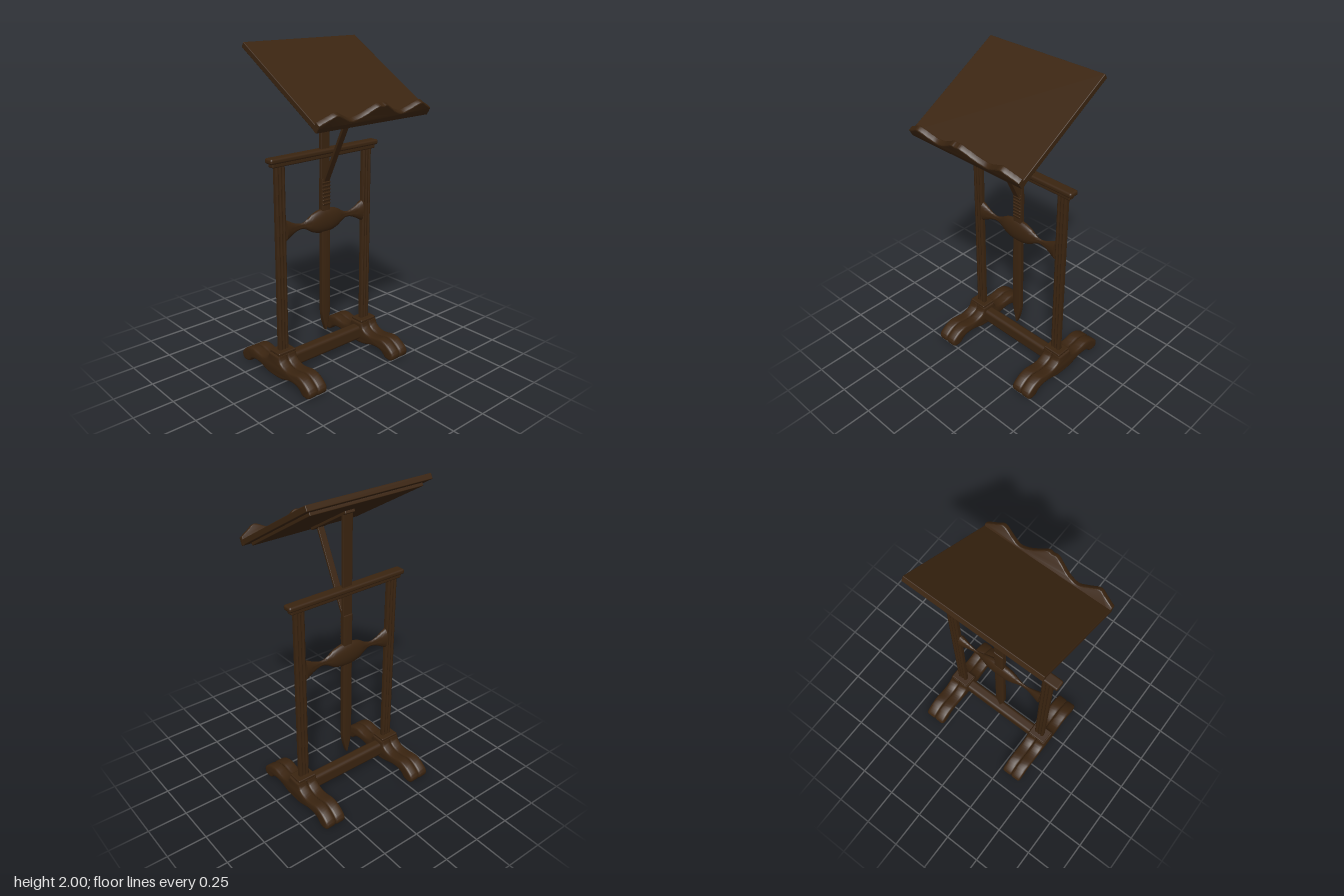
import * as THREE from 'three';
import { toCreasedNormals } from 'three/addons/utils/BufferGeometryUtils.js';
import { RoundedBoxGeometry } from 'three/addons/geometries/RoundedBoxGeometry.js';

const POST_Z = -0.07; // plane of the posts, rail and shaft

export function createModel() {
  const model = new THREE.Group();
  model.name = 'lectern';
  const wood = new THREE.MeshStandardMaterial({ color: 0x3a2410 });
  wood.name = 'dark wood';

  const add = (name, geometry, x, y, z, parent = model) => {
    const mesh = new THREE.Mesh(geometry, wood);
    mesh.name = name;
    mesh.position.set(x, y, z);
    parent.add(mesh);
    return mesh;
  };
  const box = (w, h, d, r = 0.004) => new RoundedBoxGeometry(w, h, d, 2, r);

  // Extrudes an outline symmetrically about its plane, with a soft bevel inside the outline
  const slab = (shape, depth, bevel) => {
    const g = new THREE.ExtrudeGeometry(shape, {
      depth: depth - 2 * bevel, bevelThickness: bevel, bevelSize: bevel,
      bevelOffset: -bevel, bevelSegments: 3, curveSegments: 10,
    });
    g.translate(0, 0, bevel - depth / 2);
    return toCreasedNormals(g, 0.6);
  };
  const spline = (pts) => new THREE.SplineCurve(pts.map(([x, y]) => new THREE.Vector2(x, y)));

  // Scrolled foot outline: half profile mirrored about the post
  const halfFoot = [[0.05, 0.165], [0.062, 0.13], [0.11, 0.106], [0.16, 0.106], [0.22, 0.116],
    [0.27, 0.106], [0.315, 0.078], [0.338, 0.05], [0.335, 0.018], [0.31, 0.003], [0.27, 0.008],
    [0.24, 0.035], [0.2, 0.048], [0.14, 0.045], [0.07, 0.025]];
  const outline = [...halfFoot, [0, 0.02],
    ...halfFoot.map(([x, y]) => [-x, y]).reverse()];
  const footShape = new THREE.Shape(spline(outline).getPoints(90));
  const lobe = slab(footShape, 0.07, 0.014).rotateY(-Math.PI / 2);

  for (const side of [-1, 1]) {
    const name = side > 0 ? 'left' : 'right';
    // Foot made of two rounded lobes
    for (const off of [-0.035, 0.035]) add(name + 'Foot', lobe, side * 0.34 + off, 0, POST_Z);
    add(name + 'FootBlock', box(0.12, 0.1, 0.09), side * 0.338, 0.115, POST_Z);
    add(name + 'PostCollar', box(0.125, 0.018, 0.095, 0.006), side * 0.338, 0.175, POST_Z);

    // Reeded post
    add(name + 'Post', box(0.068, 1.16, 0.026), side * 0.336, 0.76, POST_Z);
    for (const off of [-0.022, 0, 0.022]) {
      const reed = new THREE.CylinderGeometry(0.0105, 0.0105, 1.15, 12);
      reed.scale(1, 1, 1.75);
      add(name + 'PostReed', reed, side * 0.336 + off, 0.76, POST_Z);
    }
  }

  // Low stretcher between the feet
  add('stretcher', box(0.58, 0.095, 0.075, 0.022), 0, 0.093, POST_Z);

  // Moulded top rail
  add('topRailMoulding', box(0.79, 0.032, 0.046, 0.008), 0, 1.341, POST_Z);
  add('topRail', box(0.824, 0.032, 0.066, 0.012), 0, 1.364, POST_Z);

  // Carved middle cross-piece: flared ends, thin necks, lens-shaped centre
  const half = spline([[0.066, 0.3], [0.058, 0.285], [0.036, 0.245], [0.021, 0.205], [0.019, 0.17],
    [0.031, 0.14], [0.058, 0.095], [0.073, 0.045], [0.077, 0]]).getPoints(28);
  const turned = [
    new THREE.Vector2(0, -0.302),
    ...half.map((p) => new THREE.Vector2(p.x, -p.y)),
    ...half.slice(0, -1).reverse(),
    new THREE.Vector2(0, 0.302),
  ];
  const cross = new THREE.LatheGeometry(turned, 28);
  cross.rotateZ(-Math.PI / 2).scale(1, 1, 0.44);
  add('crossPiece', toCreasedNormals(cross, 0.8), 0, 0.935, POST_Z);

  // Pointed central shaft
  const tip = new THREE.Shape();
  tip.moveTo(0, 0.2);
  tip.quadraticCurveTo(0.027, 0.27, 0.033, 0.34);
  tip.lineTo(0.033, 1.2);
  tip.lineTo(-0.033, 1.2);
  tip.lineTo(-0.033, 0.34);
  tip.quadraticCurveTo(-0.027, 0.27, 0, 0.2);
  add('shaft', slab(tip, 0.034, 0.008), 0, 0, POST_Z);
  add('upperShaft', box(0.066, 0.65, 0.022, 0.005), 0, 1.505, POST_Z);

  // Ratchet teeth on the front of the shaft
  for (let i = 0; i < 7; i++) {
    const tooth = add('ratchetTooth', box(0.058, 0.014, 0.01, 0.002), 0, 1.04 + i * 0.022, POST_Z + 0.016);
    tooth.rotation.x = 0.3;
  }

  // Diagonal prop from the shaft to the desk
  const from = new THREE.Vector3(0, 1.185, -0.055);
  const to = new THREE.Vector3(0, 1.665, 0.178);
  const prop = add('prop', box(0.042, from.distanceTo(to), 0.016, 0.003), 0, 0, 0);
  prop.position.copy(from).lerp(to, 0.5);
  prop.rotation.x = Math.atan2(to.z - from.z, to.y - from.y);

  // Tilted desk, built flat with its front lower edge at the origin
  const desk = new THREE.Group();
  desk.name = 'desk';
  desk.position.set(0, 1.587, 0.353);
  desk.rotation.x = 0.544;
  model.add(desk);
  add('deskBoard', box(0.826, 0.033, 0.743, 0.004), 0, 0.0165, -0.3715, desk);
  add('deskUnderPanel', box(0.75, 0.022, 0.655), 0, -0.007, -0.372, desk);
  add('deskBatten', box(0.066, 0.02, 0.37), 0, -0.024, -0.325, desk);

  // Wavy book ledge
  const wave = [[0, 0.118], [0.03, 0.121], [0.08, 0.09], [0.13, 0.061], [0.19, 0.046],
    [0.25, 0.072], [0.31, 0.1], [0.36, 0.076], [0.413, 0.048]];
  const crest = spline([...wave.slice(1).map(([x, y]) => [-x, y]).reverse(), ...wave]);
  const ledge = new THREE.Shape([
    new THREE.Vector2(-0.413, 0), new THREE.Vector2(0.413, 0),
    ...crest.getPoints(64).reverse(),
  ]);
  add('bookLedge', slab(ledge, 0.036, 0.006), 0, 0, -0.018, desk);

  return model;
}
